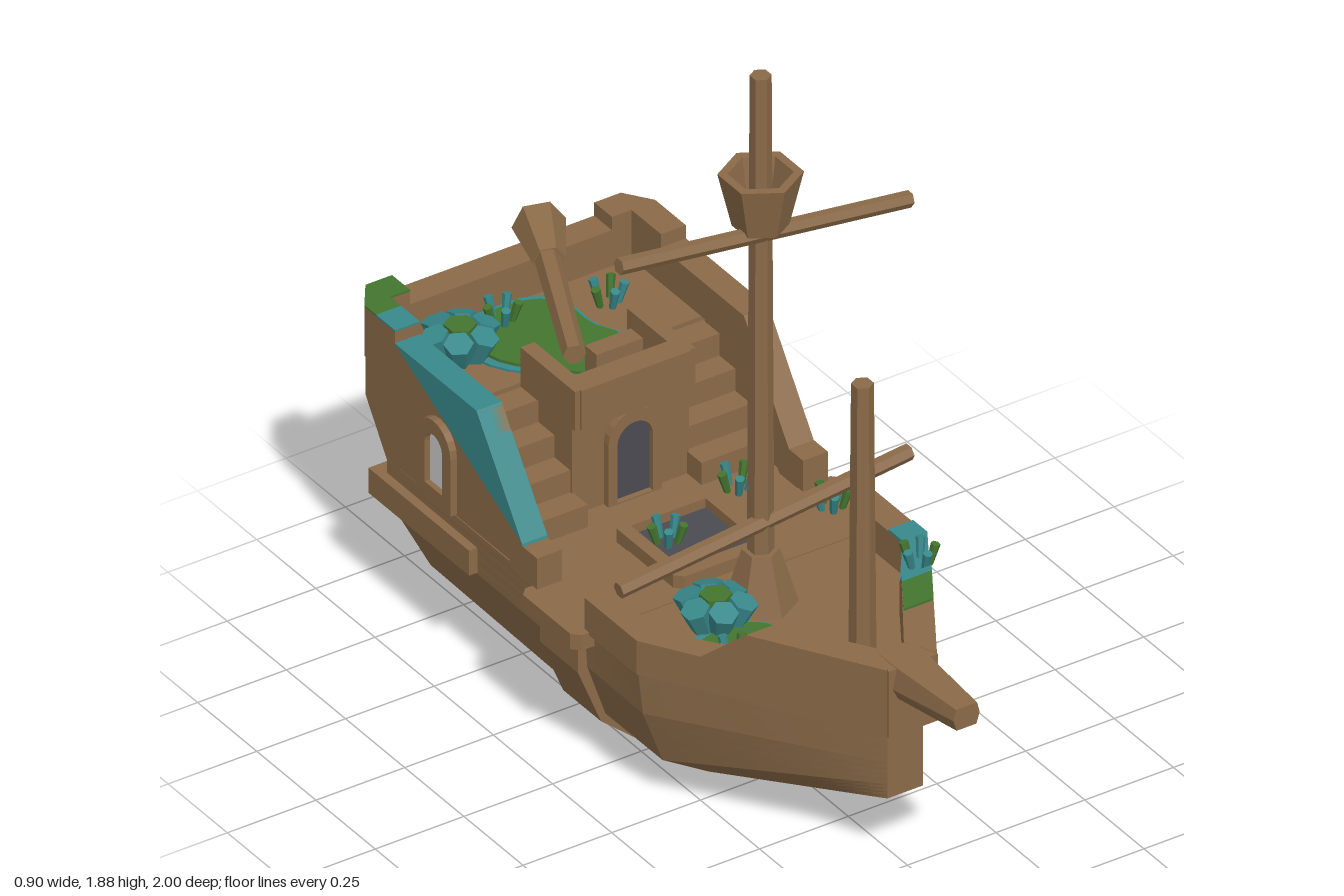
import * as THREE from 'three';

const mat = (color) => new THREE.MeshStandardMaterial({ color, flatShading: true, side: THREE.DoubleSide });
const WOOD = mat(0x8a6a48), TEAL = mat(0x38888a), GREEN = mat(0x44752f), DARK = mat(0x4a4a52), PANE = mat(0xcccccc);

export function createModel() {
  const ship = new THREE.Group();
  ship.name = 'ship';
  const add = (name, geo, m = WOOD, parent = ship) => {
    const mesh = new THREE.Mesh(geo, m);
    mesh.name = name;
    parent.add(mesh);
    return mesh;
  };
  const both = (fn) => [1, -1].forEach(fn);

  // Closed solid through rings of equal point count; orientation is fixed by its signed volume
  function loft(rings) {
    const n = rings[0].length, tris = [];
    const quad = (a, b, c, d) => tris.push([a, b, c], [a, c, d]);
    for (let r = 0; r < rings.length - 1; r++)
      for (let i = 0; i < n; i++) {
        const j = (i + 1) % n;
        quad(rings[r][i], rings[r][j], rings[r + 1][j], rings[r + 1][i]);
      }
    const a = rings[0], b = rings[rings.length - 1];
    for (let i = 0; i < n / 2 - 1; i++) {
      quad(a[n - 1 - i], a[n - 2 - i], a[i + 1], a[i]);
      quad(b[i], b[i + 1], b[n - 2 - i], b[n - 1 - i]);
    }
    let vol = 0;
    const v = (p) => new THREE.Vector3(...p);
    tris.forEach(([p, q, s]) => { vol += v(p).dot(v(q).cross(v(s))); });
    const pos = tris.flatMap(([p, q, s]) => (vol < 0 ? [p, s, q] : [p, q, s])).flat();
    const g = new THREE.BufferGeometry();
    g.setAttribute('position', new THREE.Float32BufferAttribute(pos, 3));
    g.computeVertexNormals();
    return g;
  }
  const shapeOf = (pts) => new THREE.Shape(pts.map(([x, y]) => new THREE.Vector2(x, y)));
  const extrude = (shape, depth) => new THREE.ExtrudeGeometry(shape, { depth, bevelEnabled: false, curveSegments: 5 });
  // Outline in (x, z), raised from y0 by h
  const plan = (pts, y0, h, hole) => {
    const s = shapeOf(pts.map(([x, z]) => [x, -z]));
    if (hole) s.holes.push(shapeOf(hole.map(([x, z]) => [x, -z])));
    return extrude(s, h).rotateX(-Math.PI / 2).translate(0, y0, 0);
  };
  // Outline in (z, y), from xIn to xOut on the given side
  const side = (pts, s, xIn, xOut) =>
    extrude(shapeOf(pts), xOut - xIn).rotateY(-Math.PI / 2).translate(s > 0 ? xOut : -xIn, 0, 0);
  const box = (x0, x1, y0, y1, z0, z1) =>
    new THREE.BoxGeometry(x1 - x0, y1 - y0, z1 - z0).translate((x0 + x1) / 2, (y0 + y1) / 2, (z0 + z1) / 2);
  const rod = (a, b, ra, rb, n = 6) => {
    const p = new THREE.Vector3(...a), d = new THREE.Vector3(...b).sub(p), len = d.length();
    const q = new THREE.Quaternion().setFromUnitVectors(new THREE.Vector3(0, 1, 0), d.normalize());
    return new THREE.CylinderGeometry(rb, ra, len, n).translate(0, len / 2, 0).applyQuaternion(q).translate(...p);
  };

  // Hull: four control sections, subdivided, with a dent pushed into the left bow
  const sections = [
    [[0.05, 0.2, 0.74], [0.05, 0.24, 0.74], [0.05, 0.3, 0.74], [0.05, 0.4, 0.74]],
    [[0.2, 0.04, 0.21], [0.33, 0.12, 0.21], [0.385, 0.27, 0.21], [0.4, 0.4, 0.21]],
    [[0.2, 0.04, -0.1], [0.34, 0.13, -0.1], [0.39, 0.28, -0.1], [0.395, 0.4, -0.1]],
    [[0.2, 0.04, -0.77], [0.33, 0.13, -0.77], [0.39, 0.29, -0.865], [0.39, 0.4, -0.865]],
  ];
  const mix = (a, b, t) => a.map((v, i) => v + (b[i] - v) * t);
  const dent = ([x, y, z]) => {
    const d = Math.hypot(z - 0.25, (y - 0.16) * 1.15) / 0.2;
    return d < 1 ? [x - 0.16 * Math.pow(1 - d * d, 0.7), y, z] : [x, y, z];
  };
  const rings = [];
  [12, 8, 1].forEach((steps, k) => {
    for (let i = k ? 1 : 0; i <= steps; i++) {
      const ctrl = sections[k].map((p, j) => mix(p, sections[k + 1][j], i / steps));
      const half = [ctrl[0]];
      for (let j = 0; j < 3; j++) for (let t = 1; t <= 4; t++) half.push(mix(ctrl[j], ctrl[j + 1], t / 4));
      rings.push([...half.map(dent), ...half.map(([x, y, z]) => [-x, y, z]).reverse()]);
    }
  });
  add('hull', loft(rings));

  // Hoop around the hull, gangway and stern ledge
  const hoop = [[0.22, 0], [0.35, 0.11], [0.415, 0.27], [0.415, 0.37]];
  add('hullHoop', extrude(shapeOf([...hoop, ...hoop.map(([x, y]) => [-x, y]).reverse()]), 0.16).translate(0, 0, -0.18));
  add('gangway', plan([[-0.45, 0], [-0.43, 0.02], [0.43, 0.02], [0.45, 0], [0.45, -0.2], [0.43, -0.22],
    [-0.43, -0.22], [-0.45, -0.2]], 0.36, 0.043));
  add('sternLedge', box(-0.415, 0.415, 0.29, 0.36, -0.905, -0.48));

  // Raised stern with its raking transom
  add('sternBlock', loft([[0.36, -0.84], [0.53, -0.955], [0.66, -0.955]].map(([y, z]) =>
    [[0.39, y, -0.63], [0.39, y, z], [-0.39, y, z], [-0.39, y, -0.63]])));
  add('cabin', box(-0.165, 0.165, 0.39, 0.66, -0.64, -0.42));
  both((s) => {
    add('sternSideWall', side([[-0.2, 0.37], [-0.2, 0.42], [-0.3, 0.42], [-0.49, 0.67], [-0.64, 0.66], [-0.64, 0.37]], s, 0.35, 0.39));
    add('sternRail', side([[-0.2, 0.4], [-0.2, 0.49], [-0.26, 0.49], [-0.45, 0.76], [-0.93, 0.76], [-0.93, 0.66],
      [-0.49, 0.66], [-0.3, 0.4]], s, 0.34, 0.41));
    const corner = [[0.41, -0.8], [0.41, -0.93], [0.36, -1], [0.285, -1], [0.285, -0.925], [0.34, -0.925], [0.34, -0.8]]
      .map(([x, z]) => [s * x, z]);
    add('sternCorner', plan(corner, 0.66, 0.137));
    if (s < 0) add('cornerMoss', plan(corner.map(([x, z]) => [x, Math.min(z, -0.88)]), 0.797, 0.005), GREEN);
    for (let i = 0; i < 4; i++) {
      const x0 = s > 0 ? 0.16 : -0.345;
      add('stairStep', box(x0, x0 + 0.185, 0.39, 0.4 + 0.062 * (i + 1), -0.64, -0.36 - 0.067 * i));
    }
    add('balconySide', box(s > 0 ? 0.13 : -0.17, s > 0 ? 0.17 : -0.13, 0.65, 0.76, -0.63, -0.4));
  });
  add('sternBackRail', box(-0.3, 0.3, 0.66, 0.76, -1, -0.925));
  add('balconyFront', box(-0.155, 0.155, 0.65, 0.76, -0.46, -0.395));
  add('balconyRest', box(-0.065, 0.065, 0.66, 0.79, -0.515, -0.465));
  add('railMoss', side([[-0.26, 0.49], [-0.45, 0.76], [-0.8, 0.76], [-0.8, 0.766], [-0.455, 0.766], [-0.262, 0.497]],
    -1, 0.34, 0.411), TEAL);
  add('cornerRailMoss', plan([[-0.41, -0.8], [-0.34, -0.8], [-0.34, -0.88], [-0.41, -0.88]], 0.797, 0.005), TEAL);

  // Bow rail following the taper and the sheer
  const clamp = THREE.MathUtils.clamp;
  const outer = (z) => 0.41 - 0.34 * clamp((z - 0.22) / 0.55, 0, 1);
  const sheer = (z) => 0.49 + 0.093 * clamp((z - 0.36) / 0.1, 0, 1);
  const bowRail = (s, zs, low, lift) => loft(zs.map((z) => {
    const xo = outer(z), xi = z > 0.7 ? 0.03 : xo - 0.07 - 0.015 * (z > 0.22), zi = z > 0.7 ? 0.69 : z;
    const top = sheer(z) + lift, bottom = low ?? sheer(z) - 0.002;
    return [[s * xo, bottom, z], [s * xo, top, z], [s * xi, top, zi], [s * xi, bottom, zi]];
  }));
  both((s) => add('bowRail', bowRail(s, [0, 0.22, 0.36, 0.46, 0.77], 0.395, 0)));
  add('bowPost', plan([[-0.07, 0.775], [0.07, 0.775], [0.04, 0.69], [-0.04, 0.69]], 0.395, 0.187));
  add('bowRailTealMoss', bowRail(1, [0.16, 0.22, 0.36, 0.46, 0.48], undefined, 0.006), TEAL);
  add('bowRailGreenMoss', bowRail(1, [0.48, 0.58], undefined, 0.006), GREEN);
  add('bowsprit', loft([[0.7, 0.06, 0.49], [0.77, 0.058, 0.497], [1, 0.037, 0.525]].map(([z, w, y]) =>
    [[w * 0.75, y, z], [w, y + 0.03, z], [w * 0.8, 0.584, z], [-w * 0.8, 0.584, z], [-w, y + 0.03, z], [-w * 0.75, y, z]])));

  // Cargo hatch
  const oct = (w, z0, z1, c) => [[-w + c, z1], [w - c, z1], [w, z1 - c], [w, z0 + c], [w - c, z0], [-w + c, z0], [-w, z0 + c], [-w, z1 - c]];
  add('hatchFrame', plan(oct(0.14, -0.29, -0.01, 0.02), 0.4, 0.038,
    [[-0.105, -0.05], [0.105, -0.05], [0.105, -0.26], [-0.105, -0.26]]));
  add('hatchOpening', box(-0.105, 0.105, 0.4, 0.412, -0.26, -0.05), DARK);

  // Arched door and side windows
  const arch = (w, h, y0, Kind) => {
    const s = new Kind();
    s.moveTo(-w, y0);
    s.lineTo(w, y0);
    s.lineTo(w, h - w);
    s.absarc(0, h - w, w, 0, Math.PI, false);
    s.closePath();
    return s;
  };
  const archway = (name, w, h, iw, ih, y0, pane) => {
    const g = new THREE.Group();
    g.name = name;
    const frame = arch(w, h, 0, THREE.Shape);
    frame.holes.push(arch(iw, ih, y0, THREE.Path));
    add(name + 'Frame', extrude(frame, 0.025), WOOD, g);
    add(name + 'Pane', extrude(arch(iw, ih, y0, THREE.Shape), 0.01), pane, g);
    ship.add(g);
    return g;
  };
  archway('door', 0.075, 0.25, 0.05, 0.215, 0.004, DARK).position.set(0, 0.4, -0.425);
  both((s) => {
    const g = archway('window', 0.072, 0.23, 0.037, 0.19, 0.04, PANE);
    g.position.set(s * 0.384, 0.405, -0.64);
    g.rotation.y = s * Math.PI / 2;
  });

  // Masts, yards and crow's nest
  add('foreMast', rod([0, 0.39, 0.56], [0, 1.25, 0.56], 0.034, 0.027));
  add('mainMast', rod([0, 0.39, 0.13], [0, 1.88, 0.13], 0.033, 0.026));
  add('mastFoot', rod([0, 0.4, 0.13], [0, 0.55, 0.13], 0.09, 0.045));
  add('upperYard', rod([-0.41, 1.5, 0.145], [0.41, 1.39, 0.145], 0.021, 0.021));
  add('lowerYard', rod([-0.41, 0.59, 0.145], [0.41, 0.68, 0.145], 0.021, 0.021));
  add('crowsNest', new THREE.LatheGeometry([[0, 1.46], [0.068, 1.46], [0.102, 1.605], [0.078, 1.605], [0.055, 1.5], [0, 1.5]]
    .map(([x, y]) => new THREE.Vector2(x, y)), 6).translate(0, 0, 0.13));

  // Fallen mast piece lying over the stern deck
  add('fallenSpar', rod([-0.125, 0.81, -0.47], [0.05, 0.82, -0.85], 0.028, 0.032));
  add('fallenSparEnd', rod([0.045, 0.815, -0.83], [0.105, 0.825, -0.965], 0.04, 0.065));

  // Moss on the decks
  const patch = (pts, y) => [[1.14, TEAL, 0.006], [1, GREEN, 0.014]].forEach(([k, m, h]) => {
    const cx = pts.reduce((t, p) => t + p[0], 0) / pts.length, cz = pts.reduce((t, p) => t + p[1], 0) / pts.length;
    const curve = new THREE.CatmullRomCurve3(pts.map(([x, z]) =>
      new THREE.Vector3(cx + (x - cx) * k, 0, cz + (z - cz) * k)), true);
    add('deckMoss', plan(curve.getPoints(26).slice(0, -1).map((p) => [p.x, p.z]), y, h), m);
  });
  patch([[-0.17, -0.88], [0.02, -0.9], [0.09, -0.85], [0.1, -0.73], [0.13, -0.66], [0.08, -0.56], [0.01, -0.54], [-0.09, -0.63], [-0.17, -0.73]], 0.66);
  patch([[-0.28, 0.25], [-0.14, 0.19], [-0.06, 0.22], [-0.01, 0.32], [0.06, 0.41], [0.04, 0.54], [-0.05, 0.57], [-0.17, 0.42]], 0.4);

  // Leafy rosettes and small sprouts
  const plant = (name, x, y, z, count, ring, len, r, tilt) => {
    const g = new THREE.Group();
    g.name = name;
    for (let i = 0; i < count; i++) {
      const a = i * Math.PI * 2 / count + x * 9, c = Math.cos(a), s = Math.sin(a);
      add('leaf', rod([c * ring, 0, s * ring], [c * (ring + tilt), len, s * (ring + tilt)], r * 0.7, r),
        name === 'sprout' && i % 2 ? GREEN : TEAL, g);
    }
    if (name === 'rosette') add('heart', rod([0, 0, 0], [0, len * 1.15, 0], r, r * 1.1), GREEN, g);
    g.position.set(x, y, z);
    ship.add(g);
  };
  [[-0.22, 0.66, -0.81], [-0.14, 0.4, 0.15]].forEach((p) => plant('rosette', ...p, 6, 0.04, 0.075, 0.036, 0.03));
  [[-0.07, 0.67, -0.86], [0.19, 0.66, -0.8], [0.22, 0.4, -0.3], [0.36, 0.4, -0.11], [0.32, 0.49, 0.32],
    [-0.07, 0.41, 0.43], [-0.2, 0.41, 0.32], [-0.05, 0.41, -0.19]].forEach((p) => plant('sprout', ...p, 5, 0.025, 0.055, 0.012, 0.015));
  return ship;
}
